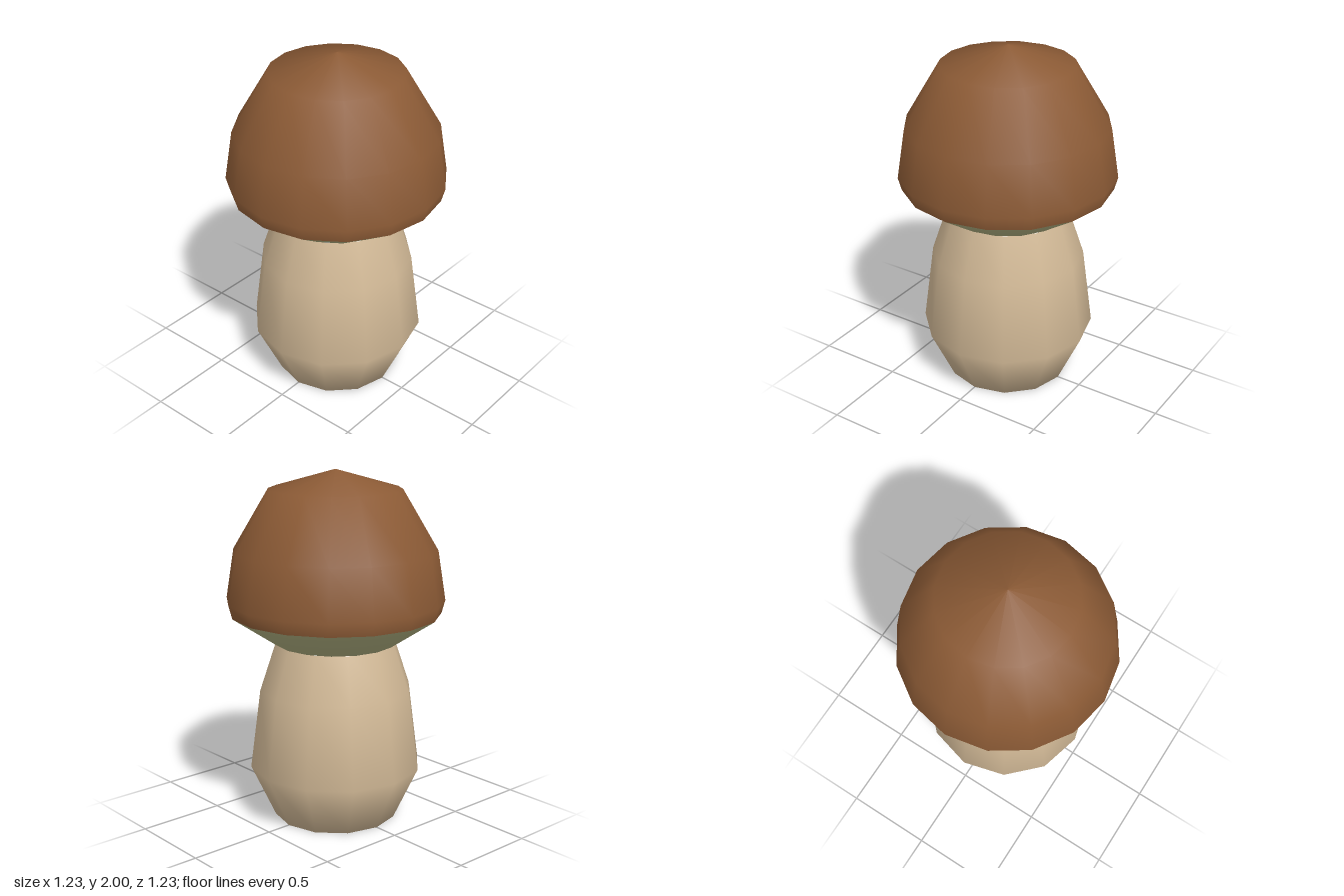
import * as THREE from 'three';

// Smooth-shaded, low-poly solid of revolution; profile runs from bottom to top
function turned(name, profile, sides, color) {
  const points = profile.map(([r, y]) => new THREE.Vector2(r, y));
  const mesh = new THREE.Mesh(
    new THREE.LatheGeometry(points, sides),
    new THREE.MeshStandardMaterial({ color })
  );
  mesh.name = name;
  return mesh;
}

export function createModel() {
  const group = new THREE.Group();
  group.name = 'mushroom';

  // Bulging stem with a closed base
  group.add(turned('stem', [
    [0, 0], [0.355, 0], [0.495, 0.305], [0.435, 0.76], [0.345, 1.03],
  ], 12, 0xd4bb98));

  // Tapered underside, closed where it meets the stem
  group.add(turned('gills', [
    [0, 1.03], [0.345, 1.03], [0.597, 1.2],
  ], 16, 0xb0b080));

  // Domed cap with a narrow turned-in rim
  group.add(turned('cap', [
    [0.597, 1.2], [0.617, 1.275], [0.572, 1.555], [0.372, 1.893], [0, 2],
  ], 16, 0x8b5a35));

  return group;
}
